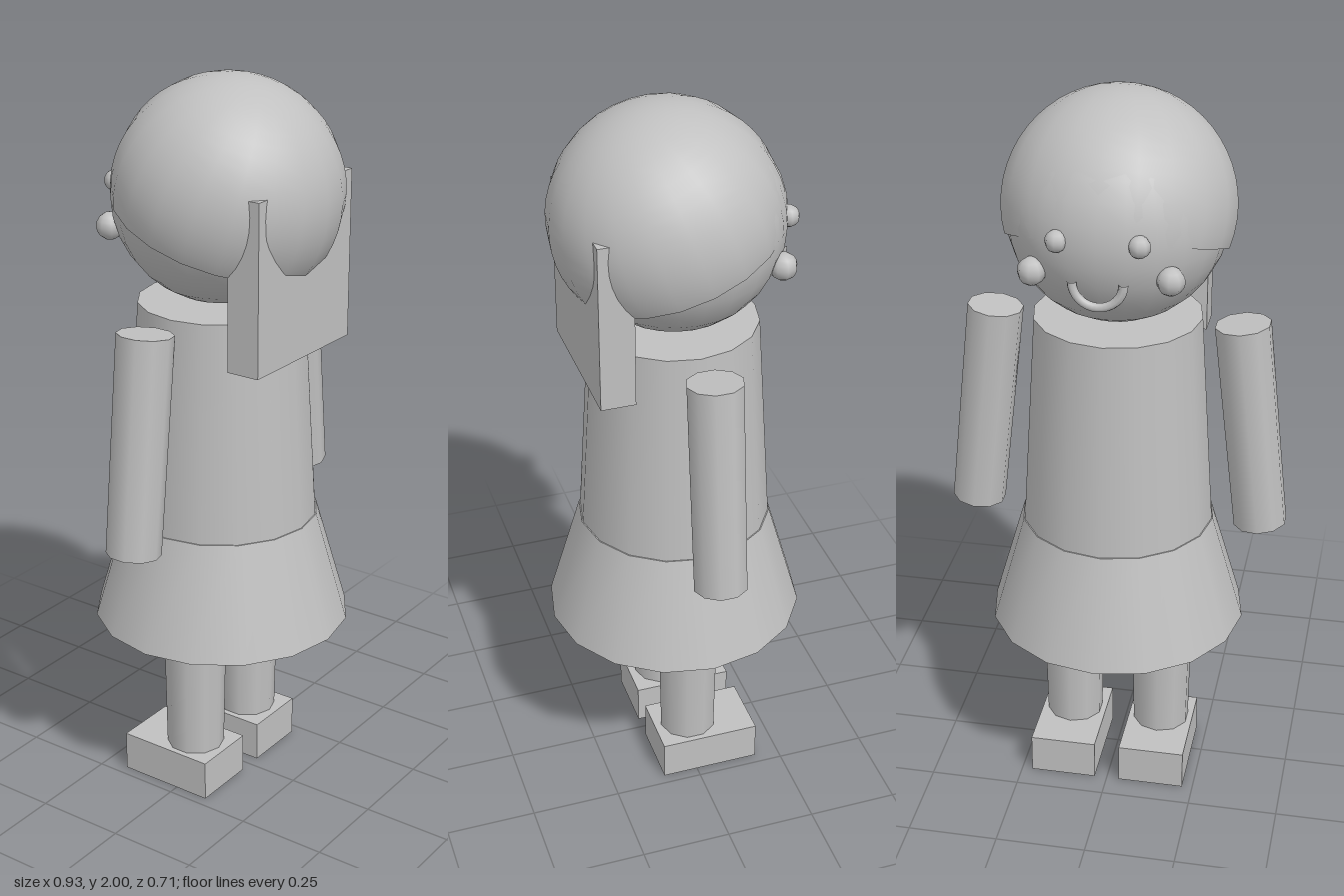
import * as THREE from 'three';

export function createModel() {
  const model = new THREE.Group();
  const grey = new THREE.MeshStandardMaterial({ color: 0xc0c0c0 });
  grey.name = 'plain grey';
  // the hair cap is an open shell
  const shellGrey = grey.clone();
  shellGrey.name = 'plain grey shell';
  shellGrey.side = THREE.DoubleSide;

  function add(name, geometry, x, y, z, material = grey) {
    const mesh = new THREE.Mesh(geometry, material);
    mesh.name = name;
    mesh.position.set(x, y, z);
    model.add(mesh);
    return mesh;
  }

  // Dress
  add('torso', new THREE.CylinderGeometry(0.225, 0.262, 0.6, 16), 0, 1.1, 0);
  add('skirt', new THREE.CylinderGeometry(0.265, 0.355, 0.31, 16), 0, 0.645, 0);

  // Head, with a tilted hair cap and a slab of hair hanging opposite the face
  add('head', new THREE.SphereGeometry(0.29, 24, 16), 0, 1.69, 0);
  const cap = new THREE.SphereGeometry(0.305, 20, 16, 0, Math.PI * 2, 0, Math.PI * 0.6);
  add('hairCap', cap, 0, 1.695, 0.02, shellGrey).rotation.x = 0.35;
  add('longHair', new THREE.BoxGeometry(0.424, 0.455, 0.093), 0, 1.5175, 0.215);

  // Smile: lower half of a ring
  const smile = new THREE.TorusGeometry(0.065, 0.012, 8, 16, Math.PI);
  add('mouth', smile, 0, 1.598, -0.272).rotation.z = Math.PI;

  // Mirrored parts
  for (const [side, s] of [['left', 1], ['right', -1]]) {
    add(side + 'Eye', new THREE.SphereGeometry(0.029, 8, 8), s * 0.103, 1.7, -0.27);
    add(side + 'Cheek', new THREE.SphereGeometry(0.037, 8, 8), s * 0.175, 1.6, -0.232);
    const arm = new THREE.CylinderGeometry(0.075, 0.073, 0.59, 10);
    add(side + 'Arm', arm, s * 0.363, 1.1, 0).rotation.z = s * 0.11;
    add(side + 'Leg', new THREE.CylinderGeometry(0.087, 0.08, 0.4, 10), s * 0.128, 0.31, 0);
    add(side + 'Shoe', new THREE.BoxGeometry(0.185, 0.113, 0.28), s * 0.128, 0.0565, -0.04);
  }
  return model;
}
